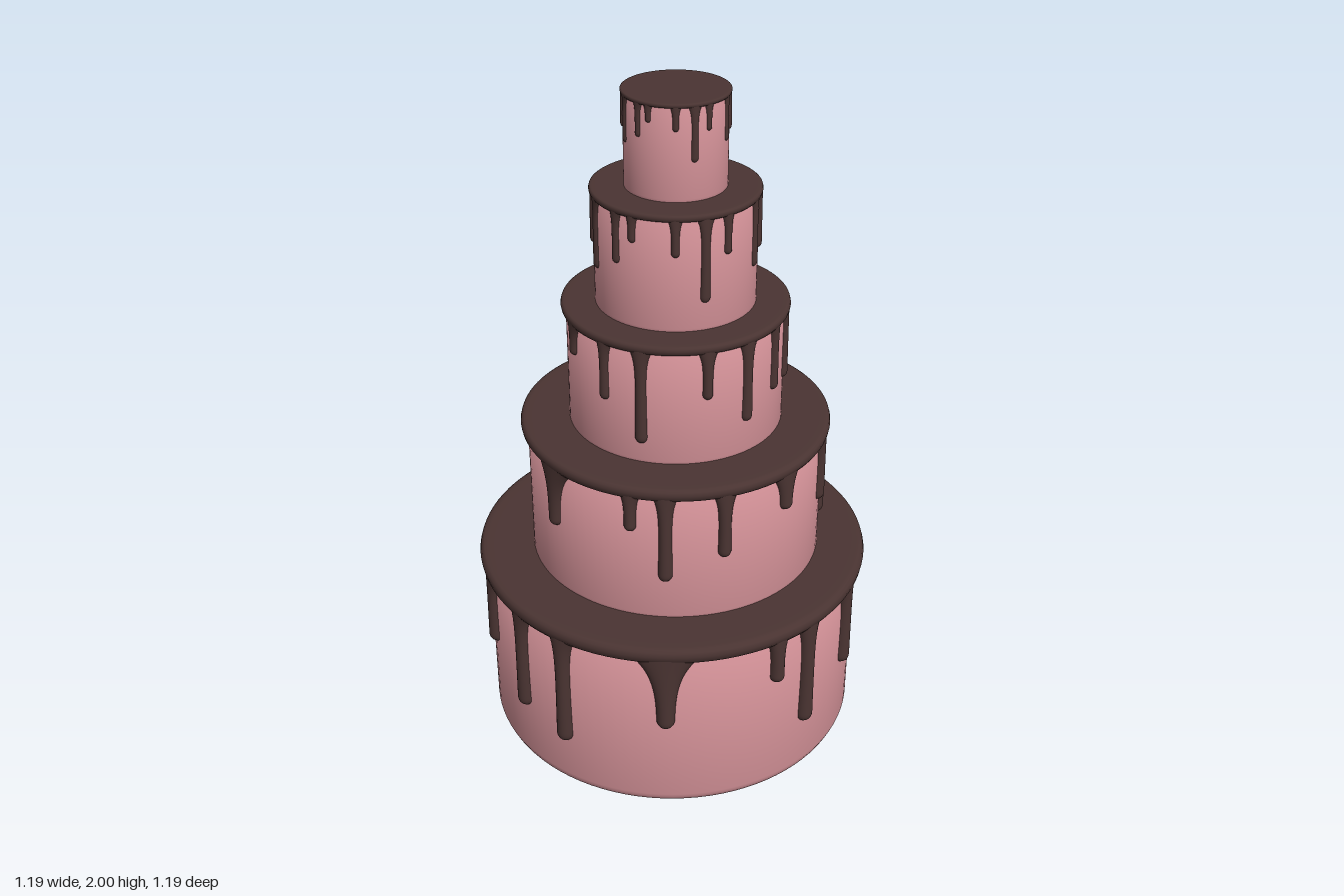
import * as THREE from 'three';

const spongeMat = new THREE.MeshStandardMaterial({ color: 0xc98a90 });
const icingMat = new THREE.MeshStandardMaterial({ color: 0x4a3432, side: THREE.DoubleSide });

// Small tiers: evenly spread drips, lengths repeating in proportion to the radius
const LENGTHS = [0.96, 0.72, 0.4, 0.53, 1.13, 0.57, 0.92, 0.79];
const evenDrips = (top, r) => Array.from({ length: 16 }, (_, i) =>
  [-60 + i * 22.5 + 5 * Math.sin(i * 2.3), top - r * LENGTHS[i % LENGTHS.length]]);

// Large tiers: drips as [degrees from the front towards +x, tip height]
const lowerDrips = [[-78, 0.46], [-61, 0.3], [-40, 0.2], [-23, 0.16], [9, 0.29], [43, 0.39], [55, 0.18], [77, 0.26],
  [105, 0.41], [133, 0.27], [152, 0.09], [171, 0.33], [190, 0.46], [211, 0.12], [234, 0.21], [252, 0.2]];
const secondDrips = [[-41, 0.79], [-6, 0.87], [7, 0.71], [29, 0.78], [56, 0.87], [85, 0.78], [104, 0.64],
  [142, 0.82], [166, 0.69], [182, 0.73], [198, 0.7], [231, 0.88], [259, 0.7]];
const middleDrips = [[-54, 1.27], [-28, 1.19], [-7, 1.08], [27, 1.22], [50, 1.12], [72, 1.17], [90, 1.16], [112, 1.31],
  [130, 1.21], [155, 1.13], [172, 1.12], [202, 1.2], [234, 1.31], [245, 1.2], [268, 1.19]];

const TIERS = [
  { top: 0.583, r: 0.567, drips: lowerDrips },
  { top: 1.02, r: 0.438, drips: secondDrips },
  { top: 1.39, r: 0.313, drips: middleDrips },
  { top: 1.73, r: 0.229, drips: evenDrips(1.73, 0.229) },
  { top: 2, r: 0.143, drips: evenDrips(2, 0.143) },
];

function lathe(points, material, name) {
  const geo = new THREE.LatheGeometry(points.map(([x, y]) => new THREE.Vector2(x, y)), 96);
  const mesh = new THREE.Mesh(geo, material);
  mesh.name = name;
  return mesh;
}

// A half-round strand wrapped on the side of a tier: flared at the top, bulbous at the tip
function drip(r, t, start, [deg, tip], room) {
  const ROWS = 28, COLS = 12, pos = [], index = [];
  const length = start - tip;
  // long drips are thicker, drips with room beside them flare wider
  const half = (0.0035 + 0.035 * r) * (0.8 + 0.45 * Math.min(1, length / r));
  const flare = 1.4 + 3 * THREE.MathUtils.smoothstep(room, 20, 32);
  const round = Math.min(half * 1.2, length * 0.4);
  const fall = Math.min(half * (1.2 + 0.4 * flare), length * 0.4);
  for (let i = 0; i <= ROWS; i++) {
    // rows bunch up towards the tip
    const d = length * Math.sin((i / ROWS) * Math.PI / 2);
    const u = Math.max(0, (d - length + round) / round);
    const cap = Math.sqrt(Math.max(0, 1 - u * u));
    const w = half * cap * (0.85 + 0.2 * (d / length) ** 2 + flare * Math.exp(-d / fall));
    const depth = (t * (0.85 + 0.15 * d / length) + 0.003) * cap;
    for (let j = 0; j <= COLS; j++) {
      const a = (j / COLS - 0.5) * Math.PI;
      const radius = r - 0.003 + depth * Math.cos(a);
      const angle = THREE.MathUtils.degToRad(deg) + w * Math.sin(a) / r;
      pos.push(radius * Math.sin(angle), start - d, radius * Math.cos(angle));
      if (i < ROWS && j < COLS) {
        const p = i * (COLS + 1) + j, q = p + COLS + 1;
        index.push(p, q, q + 1, p, q + 1, p + 1);
      }
    }
  }
  const geo = new THREE.BufferGeometry();
  geo.setAttribute('position', new THREE.Float32BufferAttribute(pos, 3));
  geo.setIndex(index);
  geo.computeVertexNormals();
  const mesh = new THREE.Mesh(geo, icingMat);
  mesh.name = 'icingDrip';
  return mesh;
}

export function createModel() {
  const cake = new THREE.Group();
  cake.name = 'tieredCake';
  TIERS.forEach(({ top, r, drips }, n) => {
    const group = new THREE.Group();
    group.name = 'tier' + (n + 1);
    // upper tiers sit slightly off centre and sink a little into the one below
    if (n > 0) group.position.set(0.009, 0, -0.009);
    const base = n > 0 ? TIERS[n - 1].top - 0.02 : 0;
    const t = 0.0455 * r;

    // Sponge with a small rounded bottom edge
    const b = 0.018;
    group.add(lathe([[0, base], [r - b, base], [r - b * 0.3, base + b * 0.3], [r, base + b],
      [r, base + b * 1.5], [r, top - t * 0.6], [0, top - t * 0.6]], spongeMat, 'sponge'));

    // Icing disc with a rounded rim
    const R = r + t;
    group.add(lathe([[r - 0.003, top - t * 1.9], [r + t * 0.6, top - t * 1.75], [R - t * 0.1, top - t * 1.3],
      [R, top - t * 0.75], [R - t * 0.15, top - t * 0.25], [R - t * 0.5, top - t * 0.04], [R - t, top],
      [R - t * 2, top], [0, top]], icingMat, 'icingTop'));

    // Drips, each given the angle to its nearest neighbour
    const strands = new THREE.Group();
    strands.name = 'icingDrips';
    drips.forEach((d, i) => {
      const next = drips[(i + 1) % drips.length][0];
      const previous = drips.at(i - 1)[0];
      const room = Math.min((next - d[0] + 360) % 360, (d[0] - previous + 360) % 360);
      strands.add(drip(r, t, top - t * 0.7, d, room));
    });
    group.add(strands);
    cake.add(group);
  });
  return cake;
}
